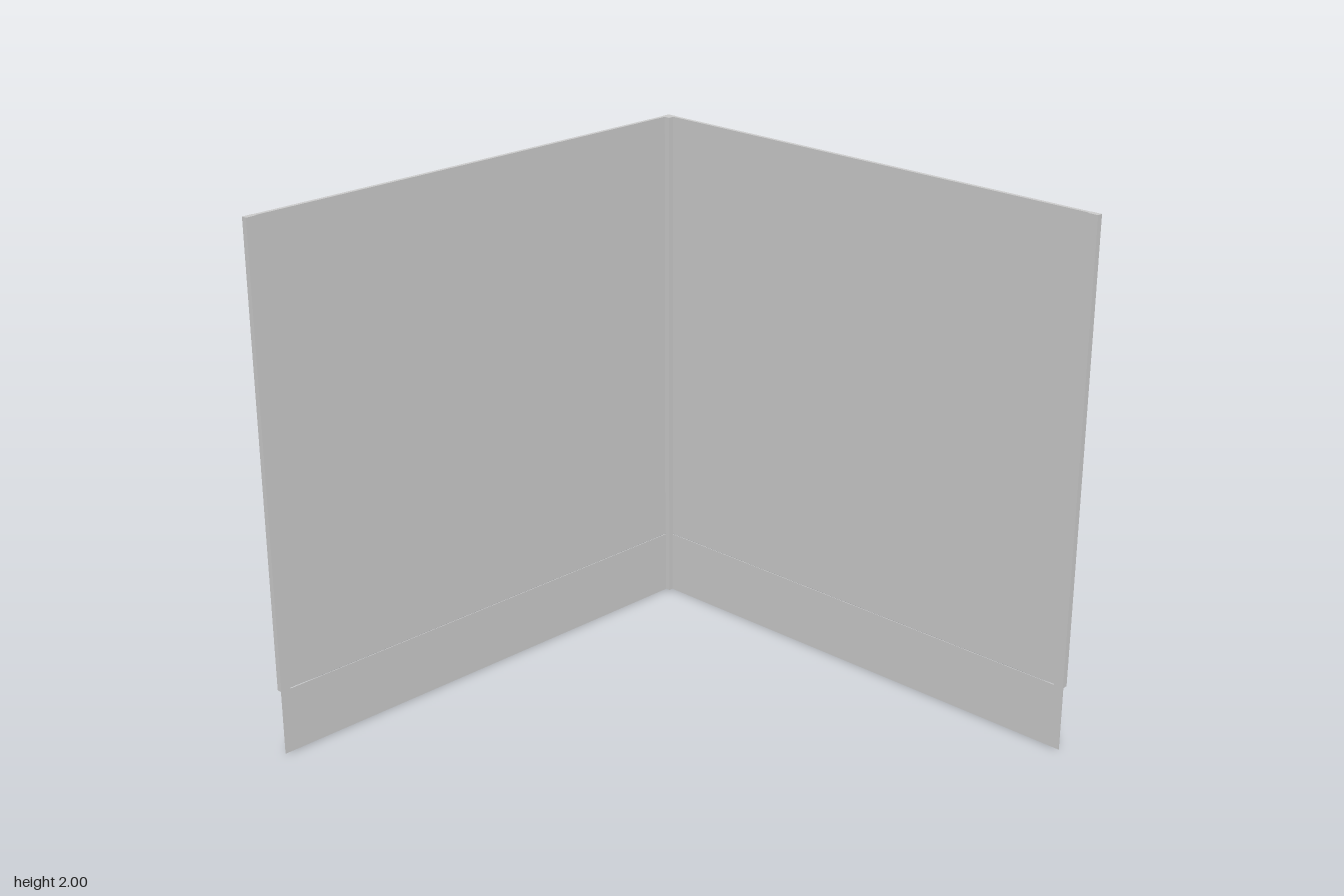
import * as THREE from 'three';

const material = new THREE.MeshStandardMaterial({ color: 0xcccccc, flatShading: true });

// Box given by its lower and upper corners
function block(name, [x0, y0, z0], [x1, y1, z1]) {
  const mesh = new THREE.Mesh(new THREE.BoxGeometry(x1 - x0, y1 - y0, z1 - z0), material);
  mesh.position.set((x0 + x1) / 2, (y0 + y1) / 2, (z0 + z1) / 2);
  mesh.name = name;
  return mesh;
}

const BASE = 0.25; // height of the set-in base strip
const TOP = 2;
const POST = 0.04; // post width
const DEPTH = 0.022; // wall thickness

// One wall along the back edge, without the shared corner post
function createWall(name) {
  const wall = new THREE.Group();
  wall.name = name;
  const inner = -1 + DEPTH;
  wall.add(
    block('panel', [-1 + POST, BASE, -0.998], [1 - POST, TOP, inner - 0.005]),
    block('endPost', [-1, BASE, -1], [-1 + POST, TOP, inner]),
    block('baseStrip', [-1, 0, inner - 0.003], [1 - POST, BASE, inner]),
  );
  return wall;
}

export function createModel() {
  const model = new THREE.Group();
  model.name = 'cornerPartition';

  const backWall = createWall('backWall');

  // The side wall is the same wall turned about the corner, with its parts
  // mirrored so that the end post lies at the open front end
  const sideWall = createWall('sideWall');
  sideWall.rotation.y = -Math.PI / 2;

  // Square post joining both walls, with a slimmer foot below it
  model.add(
    backWall,
    sideWall,
    block('cornerPost', [1 - POST, BASE, -1], [1, TOP, -1 + POST]),
    block('cornerFoot', [1 - POST, 0, -1 + DEPTH - 0.003], [1 - DEPTH + 0.003, BASE, -1 + POST]),
  );

  // Flip the side wall end for end
  for (const part of sideWall.children) part.position.x *= -1;
  return model;
}
